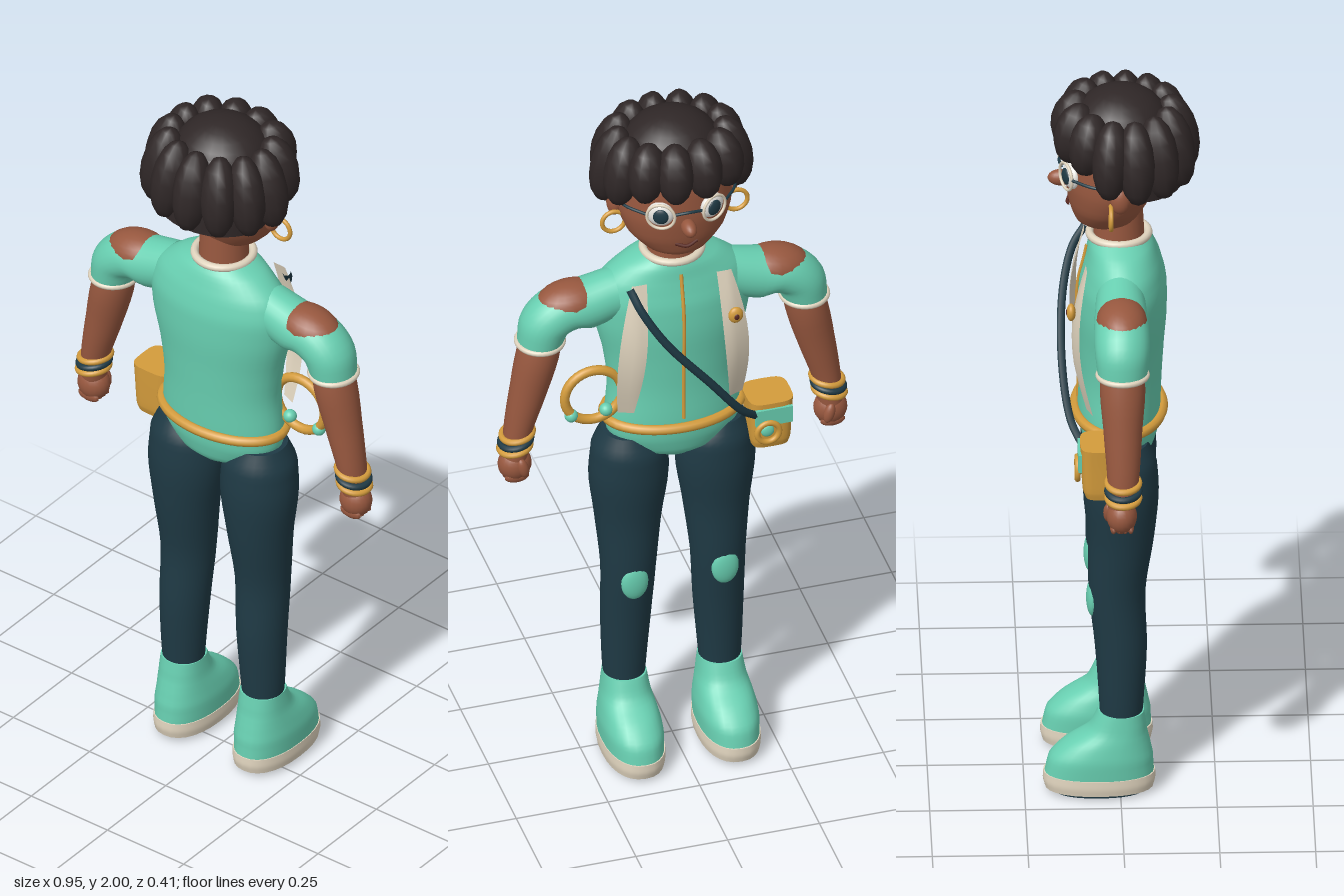
import * as THREE from 'three';

const mat = (name, color, side = THREE.FrontSide) => {
  const m = new THREE.MeshStandardMaterial({ color, side });
  m.name = name;
  return m;
};
const M = {
  skin: mat('skin', 0x98583f),
  teal: mat('teal cloth', 0x68cfb1),
  navy: mat('navy cloth', 0x1f3a45),
  hair: mat('hair', 0x2f2727),
  cream: mat('cream trim', 0xe0d4be, THREE.DoubleSide),
  gold: mat('gold', 0xd49c3c),
  white: mat('eye white', 0xf3f1ec),
  lip: mat('lip', 0x5b2a22),
};
const V = (x, y, z) => new THREE.Vector3(x, y, z);

export function createModel() {
  const root = new THREE.Group();
  root.name = 'character';

  const add = (name, geo, material, pos = [0, 0, 0], rot = [0, 0, 0], scale = [1, 1, 1], parent = root) => {
    const mesh = new THREE.Mesh(geo, material);
    mesh.name = name;
    mesh.position.set(...pos);
    mesh.rotation.set(...rot);
    mesh.scale.set(...scale);
    parent.add(mesh);
    return mesh;
  };
  const ball = (name, material, pos, r, rot, parent, seg = 20) =>
    add(name, new THREE.SphereGeometry(1, seg, Math.round(seg * 0.7)), material, pos, rot, r, parent);
  const ring = (name, material, pos, r, tube, rot) =>
    add(name, new THREE.TorusGeometry(r, tube, 10, 32), material, pos, rot);
  const tube = (name, material, pts, r, closed = false) =>
    add(name, new THREE.TubeGeometry(new THREE.CatmullRomCurve3(pts.map(p => V(...p)), closed), 48, r, 8, closed), material);

  // Smooth skin through rows of [x, y, z, rx, rz, tilt], listed bottom to top; s mirrors it
  const loft = (name, material, rows, s = 1, { seg = 28, sub = 4, power = 2 } = {}) => {
    const centre = new THREE.CatmullRomCurve3(rows.map(r => V(r[0], r[1], r[2])));
    const size = new THREE.CatmullRomCurve3(rows.map(r => V(r[3], r[4], r[5] || 0)));
    const n = (rows.length - 1) * sub, pos = [], idx = [];
    const sq = c => Math.sign(c) * Math.pow(Math.abs(c), 2 / power);
    const put = (i, withRing) => {
      const c = centre.getPoint(i / n), k = size.getPoint(i / n);
      if (!withRing) return pos.push(c.x * s, c.y, c.z);
      for (let j = 0; j < seg; j++) {
        const a = (j / seg) * Math.PI * 2, u = sq(Math.cos(a)) * k.x, t = k.z * s;
        pos.push(c.x * s + u * Math.cos(t), c.y + u * Math.sin(t), c.z + sq(Math.sin(a)) * k.y);
      }
    };
    for (let i = 0; i <= n; i++) put(i, true);
    for (let i = 0; i < n; i++) for (let j = 0; j < seg; j++) {
      const a = i * seg + j, b = i * seg + (j + 1) % seg;
      idx.push(a, a + seg, b, b, a + seg, b + seg);
    }
    for (const [i, top] of [[0, false], [n, true]]) {
      const base = pos.length / 3;
      put(i, true);
      put(i, false);
      for (let j = 0; j < seg; j++) {
        const a = base + j, b = base + (j + 1) % seg;
        idx.push(base + seg, top ? b : a, top ? a : b);
      }
    }
    const geo = new THREE.BufferGeometry();
    geo.setAttribute('position', new THREE.Float32BufferAttribute(pos, 3));
    geo.setIndex(idx);
    geo.computeVertexNormals();
    return add(name, geo, material);
  };

  // Torso, neck and head
  loft('torso', M.teal, [
    [0, 0.94, 0, 0.06, 0.06], [0, 0.97, 0, 0.14, 0.09], [0, 1.02, 0, 0.178, 0.104], [0, 1.07, 0, 0.182, 0.108],
    [0, 1.17, 0.004, 0.174, 0.108], [0, 1.27, 0.006, 0.185, 0.112], [0, 1.37, 0.008, 0.208, 0.117],
    [0, 1.44, 0.01, 0.214, 0.114], [0, 1.5, 0.01, 0.195, 0.1], [0, 1.55, 0.005, 0.135, 0.085], [0, 1.575, 0, 0.085, 0.072],
  ], 1, { seg: 40 });
  add('neck', new THREE.CylinderGeometry(0.062, 0.068, 0.12, 24), M.skin, [0, 1.6, 0]);
  ring('collar', M.cream, [0, 1.575, 0], 0.077, 0.011, [Math.PI / 2, 0, 0]);
  loft('head', M.skin, [
    [0, 1.606, -0.04, 0.045, 0.045], [0, 1.63, -0.035, 0.088, 0.08], [0, 1.68, -0.028, 0.132, 0.104],
    [0, 1.75, -0.015, 0.154, 0.126], [0, 1.83, -0.005, 0.154, 0.132], [0, 1.9, 0, 0.13, 0.115], [0, 1.95, 0, 0.07, 0.07],
  ], 1, { seg: 36 });

  // Face
  ball('nose', M.skin, [0, 1.738, -0.152], [0.02, 0.022, 0.034]);
  tube('mouth', M.lip, [[-0.03, 1.675, -0.126], [0, 1.667, -0.134], [0.03, 1.675, -0.126]], 0.005);
  for (const s of [1, -1]) {
    const turn = s * 0.42;
    ball('eye', M.white, [s * 0.07, 1.78, -0.126], [0.036, 0.036, 0.018], [0, -turn, 0]);
    ball('iris', M.navy, [s * 0.073, 1.78, -0.139], [0.021, 0.023, 0.009], [0, -turn, 0]);
    ring('glassesRim', M.cream, [s * 0.073, 1.78, -0.14], 0.037, 0.004, [0, -turn, 0]);
    tube('glassesArm', M.navy, [[s * 0.108, 1.785, -0.124], [s * 0.15, 1.785, -0.07], [s * 0.162, 1.78, 0]], 0.004);
    ball('ear', M.skin, [s * 0.158, 1.75, 0], [0.02, 0.038, 0.026]);
    ring('earring', M.gold, [s * 0.167, 1.705, -0.025], 0.031, 0.006);
  }
  tube('glassesBridge', M.navy, [[-0.037, 1.785, -0.15], [0, 1.79, -0.156], [0.037, 1.785, -0.15]], 0.004);

  // Hair: crown, back cap and a ring of vertical curls, shorter over the brow
  ball('hairCrown', M.hair, [0, 1.89, 0.005], [0.135, 0.11, 0.13]);
  loft('hairCap', M.hair, [
    [0, 1.745, 0.045, 0.16, 0.128], [0, 1.82, 0.035, 0.166, 0.135], [0, 1.9, 0.02, 0.15, 0.14], [0, 1.96, 0.01, 0.09, 0.09],
  ]);
  const curls = 13;
  for (let i = 0; i < curls; i++) {
    const a = ((i + 0.15) / curls) * Math.PI * 2;
    const front = THREE.MathUtils.smoothstep(-Math.cos(a), 0.1, 0.75);
    const curl = new THREE.Group();
    curl.name = 'hairCurl';
    curl.position.set(Math.sin(a) * 0.16, 1.86 + front * 0.035, 0.015 + Math.cos(a) * 0.138);
    curl.rotation.y = a;
    ball('curl', M.hair, [0, 0, 0], [0.05, 0.115 - front * 0.03, 0.056], [-0.2, 0, 0], curl, 12);
    root.add(curl);
  }

  for (const s of [1, -1]) {
    // Arm with open-shoulder sleeve, bracelets and fist
    loft('sleeve', M.teal, [
      [0.36, 1.345, 0, 0.06, 0.065, 0], [0.345, 1.4, 0, 0.067, 0.071, 0.3], [0.3, 1.435, 0, 0.068, 0.072, 0.9],
      [0.24, 1.44, 0, 0.07, 0.07, 1.3], [0.16, 1.46, 0, 0.068, 0.064, 1.5],
    ], s);
    ball('shoulderSkin', M.skin, [s * 0.28, 1.455, 0], [0.095, 0.056, 0.067], [0, 0, -s * 0.12]);
    add('sleeveCuff', new THREE.TorusGeometry(0.06, 0.008, 8, 32), M.cream, [s * 0.36, 1.345, 0], [Math.PI / 2, 0, 0], [1, 1.05, 1]);
    loft('arm', M.skin, [
      [0.43, 0.99, -0.004, 0.034, 0.036, 0.2], [0.422, 1.06, 0, 0.037, 0.041, 0.25],
      [0.39, 1.2, 0, 0.05, 0.051, 0.22], [0.36, 1.33, 0, 0.055, 0.058, 0.15], [0.35, 1.38, 0, 0.05, 0.05, 0.15],
    ], s);
    [[M.gold, 1.058, 0.422], [M.navy, 1.037, 0.426], [M.gold, 1.018, 0.428]].forEach(([m, y, x]) =>
      ring('bracelet', m, [s * x, y, 0], 0.041, 0.009, [Math.PI / 2, -s * 0.2, 0]));
    ball('hand', M.skin, [s * 0.43, 0.965, -0.004], [0.045, 0.048, 0.04]);
    ball('thumb', M.skin, [s * 0.417, 0.968, -0.038], [0.015, 0.03, 0.014], [0, 0, -s * 0.25]);
    for (let k = 0; k < 4; k++)
      ball('finger', M.skin, [s * 0.43, 0.935, -0.026 + k * 0.015], [0.034, 0.017, 0.01], undefined, root, 10);

    // Leg and knee patch
    loft('leg', M.navy, [
      [0.13, 0.19, 0.002, 0.053, 0.054], [0.13, 0.26, 0.003, 0.058, 0.058], [0.126, 0.42, 0.002, 0.067, 0.068],
      [0.122, 0.58, -0.008, 0.073, 0.074], [0.12, 0.74, 0.002, 0.089, 0.087], [0.118, 0.88, 0.002, 0.106, 0.099],
      [0.118, 0.96, 0, 0.1, 0.096], [0.125, 1.02, 0, 0.066, 0.072],
    ], s);
    ball('kneePatch', M.teal, [s * 0.123, 0.56, -0.071], [0.037, 0.054, 0.018]);

    // Shoe: tread, cream sole and rounded upper
    const shape = { power: 2.3 };
    loft('tread', M.navy, [[0.13, 0, -0.055, 0.064, 0.12], [0.13, 0.018, -0.055, 0.066, 0.124]], s, shape);
    loft('sole', M.cream, [[0.13, 0.012, -0.055, 0.078, 0.142], [0.13, 0.035, -0.055, 0.081, 0.147], [0.13, 0.056, -0.055, 0.08, 0.146]], s, shape);
    loft('shoe', M.teal, [
      [0.13, 0.054, -0.055, 0.078, 0.143], [0.13, 0.1, -0.05, 0.079, 0.136], [0.13, 0.14, -0.034, 0.073, 0.112],
      [0.13, 0.18, -0.008, 0.064, 0.077], [0.13, 0.232, 0.002, 0.057, 0.06],
    ], s, shape);

    // Vest front: a strip bowed over the chest
    const strip = new THREE.PlaneGeometry(1, 1, 4, 12), p = strip.attributes.position;
    for (let i = 0; i < p.count; i++) {
      const v = p.getY(i) + 0.5, bow = Math.sin(Math.PI * v);
      const x = 0.15 - 0.035 * v * v + p.getX(i) * (0.04 + 0.03 * bow);
      p.setXYZ(i, s * x, 1.12 + 0.41 * v, -0.088 - 0.038 * bow + Math.max(0, x - 0.13) * 0.4);
    }
    strip.computeVertexNormals();
    add('vestStrip', strip, M.cream);
  }

  // Zip and badge
  tube('zip', M.gold, [[0, 1.09, -0.107], [0, 1.17, -0.105], [0, 1.27, -0.107], [0, 1.37, -0.11], [0, 1.44, -0.105], [0, 1.5, -0.091], [0, 1.54, -0.083]], 0.005);
  ball('badge', M.gold, [-0.135, 1.41, -0.128], [0.02, 0.024, 0.012]);
  ball('badgeCentre', M.lip, [-0.135, 1.41, -0.137], [0.008, 0.01, 0.005]);

  // Belt with hoop
  tube('belt', M.gold, Array.from({ length: 16 }, (_, i) => {
    const a = (i / 16) * Math.PI * 2;
    return [Math.cos(a) * 0.184, 1.065, Math.sin(a) * 0.114];
  }), 0.014, true);
  ring('hoop', M.gold, [0.225, 1.163, -0.035], 0.078, 0.013);
  for (const x of [0.19, 0.285]) ball('hoopBead', M.teal, [x, 1.108, -0.035], [0.018, 0.018, 0.018]);

  // Crossbody strap and pouch
  tube('strap', M.navy, [[0.14, 1.52, -0.085], [0.12, 1.47, -0.118], [0.06, 1.37, -0.145], [-0.06, 1.22, -0.15], [-0.15, 1.1, -0.13], [-0.2, 1.05, -0.1]], 0.011);
  loft('pouch', M.gold, [
    [-0.245, 0.938, -0.05, 0.05, 0.045], [-0.245, 0.96, -0.05, 0.055, 0.052], [-0.245, 1.03, -0.05, 0.058, 0.056], [-0.245, 1.085, -0.05, 0.061, 0.058],
  ], 1, { power: 4 });
  add('pouchFlap', new THREE.BoxGeometry(0.1, 0.05, 0.009), M.teal, [-0.245, 1.045, -0.109]);
  ring('pouchRing', M.gold, [-0.228, 1, -0.114], 0.03, 0.008);
  ball('pouchButton', M.teal, [-0.228, 1, -0.107], [0.018, 0.018, 0.008]);

  return root;
}
